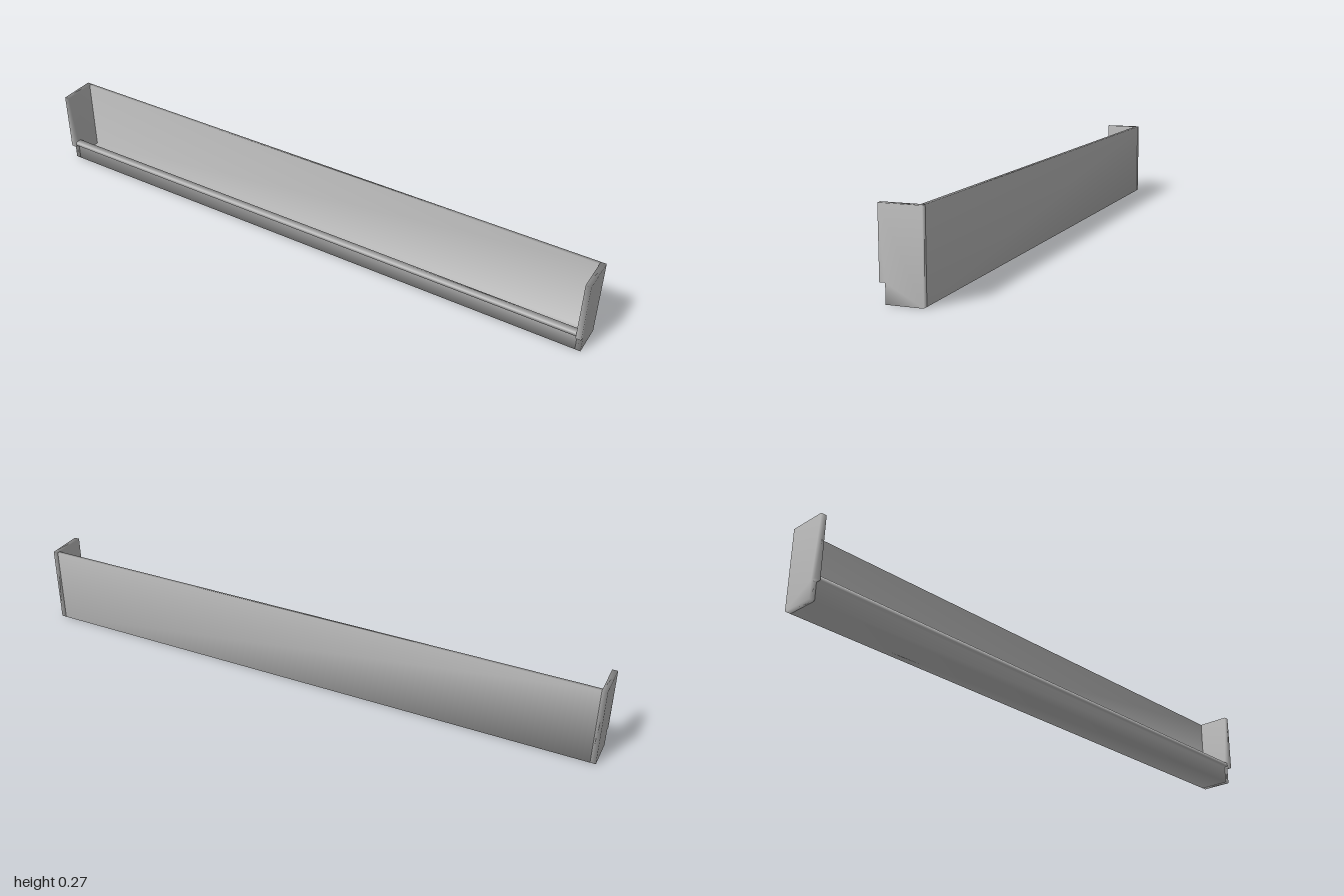
import * as THREE from 'three';
import { mergeVertices } from 'three/addons/utils/BufferGeometryUtils.js';

// Extrude a (z, y) outline along x between x0 and x1, with shared soft normals
function profileAlongX(points, x0, x1) {
  const shape = new THREE.Shape(points.map(([z, y]) => new THREE.Vector2(z, y)));
  const geo = new THREE.ExtrudeGeometry(shape, { depth: x1 - x0, bevelEnabled: false });
  geo.rotateY(-Math.PI / 2);
  geo.translate(x1, 0, 0);
  geo.deleteAttribute('uv');
  geo.deleteAttribute('normal');
  const merged = mergeVertices(geo, 1e-5);
  merged.computeVertexNormals();
  return merged;
}

export function createModel() {
  const group = new THREE.Group();
  const grey = new THREE.MeshStandardMaterial({ color: 0xc0c0c0 });
  grey.name = 'light grey';

  const add = (name, points, x0, x1) => {
    const mesh = new THREE.Mesh(profileAlongX(points, x0, x1), grey);
    mesh.name = name;
    group.add(mesh);
  };

  const top = 0.266, back = -0.063, front = 0.063, lower = 0.046, step = 0.058;
  const capInner = 0.982;

  // Long trough: tall back wall, floor, and low front wall with an overhanging lip
  add('trough', [
    [back, 0], [lower, 0], [lower, 0.06], [0.058, 0.062], [0.058, 0.074],
    [0.034, 0.074], [0.034, 0.012], [-0.051, 0.012], [-0.051, top], [back, top],
  ], -capInner, capInner);

  // End caps, notched under the lip
  const cap = [
    [back, 0], [lower, 0], [lower, step], [front, step], [front, top], [back, top],
  ];
  add('leftEndCap', cap, capInner, 1);
  add('rightEndCap', cap, -1, -capInner);

  return group;
}
